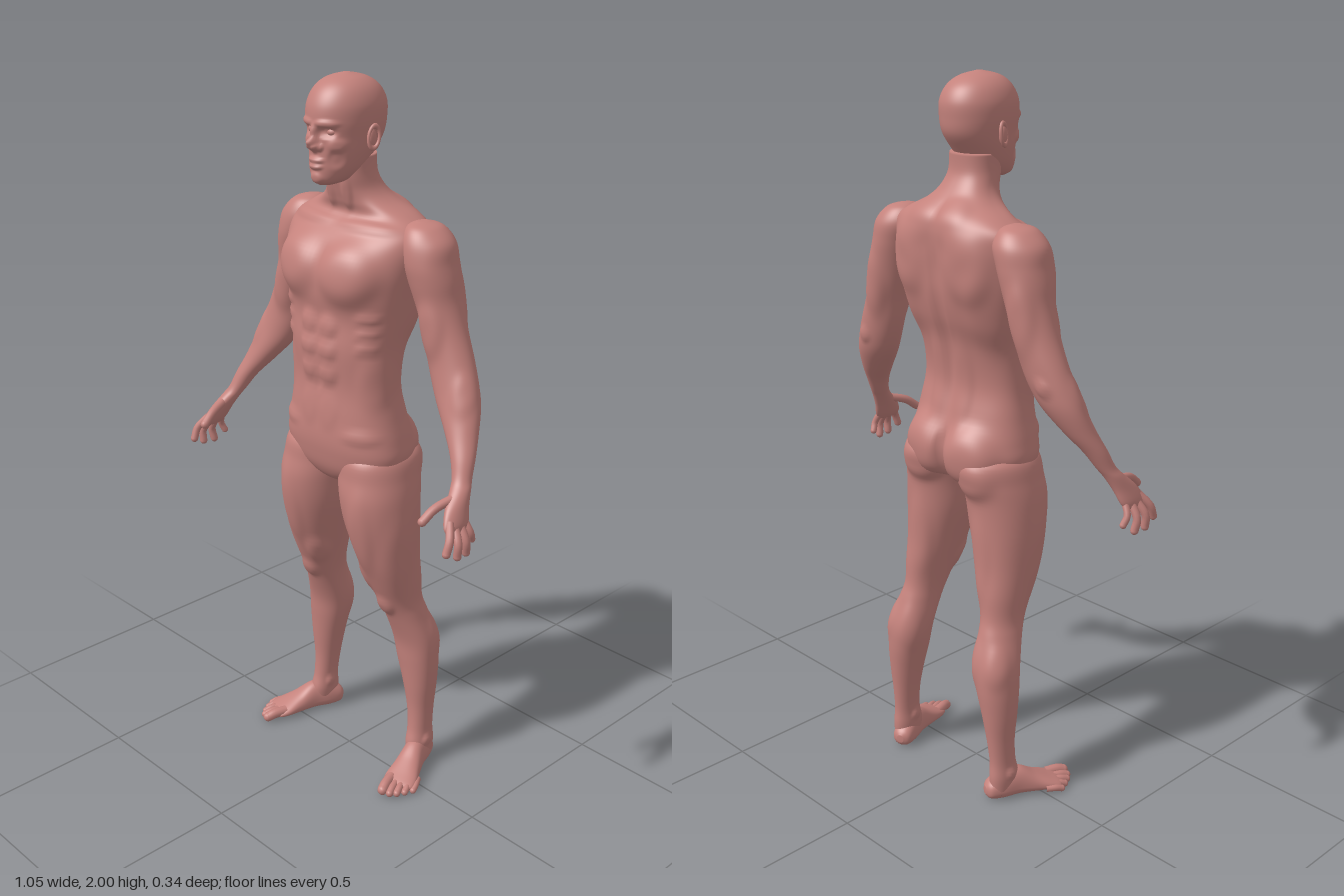
import * as THREE from 'three';
import { mergeGeometries } from 'three/addons/utils/BufferGeometryUtils.js';

const V = (p) => new THREE.Vector3(...p);
const skin = new THREE.MeshStandardMaterial({ color: 0xc4827c });
skin.name = 'skin';

// Smooth interpolation between neighbouring rows of numbers
function blend(rows, s) {
  const i = Math.min(Math.floor(s), rows.length - 2), t = s - i;
  const at = (k) => rows[Math.max(0, Math.min(rows.length - 1, k))];
  return rows[0].map((_, c) => {
    const [p, q, r, u] = [at(i - 1)[c], at(i)[c], at(i + 1)[c], at(i + 2)[c]];
    return q + 0.5 * t * (r - p + t * (2 * p - 5 * q + 4 * r - u + t * (3 * (q - r) + u - p)));
  });
}

// Closed skin over horizontal sections: [x, y, z, halfWidth, frontDepth, backDepth]
function loft(rows, sides, power = 2, steps = 6) {
  if (rows[0][1] > rows[rows.length - 1][1]) rows = [...rows].reverse();
  const pos = [], index = [], rings = (rows.length - 1) * steps;
  const bend = (v) => Math.sign(v) * Math.pow(Math.abs(v), 2 / power);
  for (let i = 0; i <= rings; i++) {
    const [x, y, z, a, f, b] = blend(rows, i / steps);
    for (let j = 0; j < sides; j++) {
      const t = (j / sides) * Math.PI * 2, s = Math.sin(t);
      pos.push(x + Math.max(a, 0.001) * bend(Math.cos(t)), y, z + Math.max(s > 0 ? f : b, 0.001) * bend(s));
      if (i === rings) continue;
      const n = (j + 1) % sides, p = i * sides + j, q = i * sides + n;
      index.push(p, p + sides, q, q, p + sides, q + sides);
    }
  }
  const low = pos.length / 3, first = rows[0], last = rows[rows.length - 1];
  pos.push(first[0], first[1], first[2], last[0], last[1], last[2]);
  for (let j = 0; j < sides; j++) {
    const n = (j + 1) % sides, top = rings * sides;
    index.push(low, j, n, low + 1, top + n, top + j);
  }
  const geo = new THREE.BufferGeometry();
  geo.setAttribute('position', new THREE.Float32BufferAttribute(pos, 3));
  geo.setIndex(index);
  geo.computeVertexNormals();
  return geo;
}

// Push the skin out (or in) around muscles: [x, y, z, rx, ry, rz, amount]
function sculpt(geo, muscles, mirrored = false) {
  const p = geo.attributes.position, n = geo.attributes.normal;
  for (let i = 0; i < p.count; i++) {
    const x = p.getX(i), y = p.getY(i), z = p.getZ(i), mx = mirrored ? Math.abs(x) : x;
    let d = 0;
    for (const [cx, cy, cz, rx, ry, rz, amount] of muscles) {
      const r = ((mx - cx) / rx) ** 2 + ((y - cy) / ry) ** 2 + ((z - cz) / rz) ** 2;
      d += amount * Math.exp(-r * r);
    }
    p.setXYZ(i, x + n.getX(i) * d, y + n.getY(i) * d, z + n.getZ(i) * d);
  }
  geo.computeVertexNormals();
  return geo;
}

// Finger or toe: a round tube with a round tip
function digit(points, r) {
  const path = new THREE.CatmullRomCurve3(points.map(V));
  const tip = new THREE.SphereGeometry(r, 12, 8).translate(...points[points.length - 1]);
  return mergeGeometries([new THREE.TubeGeometry(path, 10, r, 12), tip]);
}

const ball = (x, y, z, rx, ry, rz) => new THREE.SphereGeometry(1, 20, 14).scale(rx, ry, rz).translate(x, y, z);

export function createModel() {
  const model = new THREE.Group();
  model.name = 'figure';
  const add = (name, geo) => {
    const mesh = new THREE.Mesh(geo, skin);
    mesh.name = name;
    model.add(mesh);
  };
  const pair = (name, geo) => {
    const other = geo.clone().scale(-1, 1, 1), ix = other.index.array;
    for (let i = 0; i < ix.length; i += 3) [ix[i], ix[i + 1]] = [ix[i + 1], ix[i]];
    const n = other.attributes.normal, src = geo.attributes.normal;
    for (let i = 0; i < n.count; i++) n.setXYZ(i, -src.getX(i), src.getY(i), src.getZ(i));
    add(name + 'Left', geo);
    add(name + 'Right', other);
  };

  // Torso and neck
  const torso = loft([
    [0, 0.895, 0, 0.012, 0.03, 0.03], [0, 0.912, 0, 0.07, 0.075, 0.07],
    [0, 0.95, 0, 0.175, 0.102, 0.115], [0, 1.0, 0, 0.2, 0.115, 0.128],
    [0, 1.05, 0, 0.195, 0.12, 0.125], [0, 1.12, 0, 0.18, 0.116, 0.105],
    [0, 1.2, 0, 0.167, 0.111, 0.088], [0, 1.3, 0, 0.172, 0.118, 0.103],
    [0, 1.38, -0.01, 0.186, 0.122, 0.122], [0, 1.45, -0.02, 0.2, 0.142, 0.128],
    [0, 1.52, -0.03, 0.215, 0.145, 0.122], [0, 1.58, -0.04, 0.222, 0.13, 0.116],
    [0, 1.62, -0.05, 0.212, 0.105, 0.104], [0, 1.65, -0.055, 0.168, 0.082, 0.09],
    [0, 1.68, -0.045, 0.11, 0.08, 0.072], [0, 1.71, -0.03, 0.08, 0.075, 0.06],
    [0, 1.75, -0.008, 0.068, 0.064, 0.06], [0, 1.8, 0, 0.065, 0.06, 0.066],
  ], 128, 2.35);
  const torsoMuscles = [
    [0.095, 1.515, 0.12, 0.085, 0.075, 0.09, 0.024], // chest
    [0.15, 1.42, -0.1, 0.06, 0.12, 0.08, 0.01], // lats
    [0.11, 1.53, -0.15, 0.07, 0.09, 0.06, 0.017], // shoulder blades
    [0.05, 1.63, -0.12, 0.05, 0.06, 0.05, 0.01], // trapezius
    [0, 1.36, -0.13, 0.018, 0.24, 0.06, -0.011], // spine
    [0.045, 1.2, -0.1, 0.03, 0.12, 0.05, 0.008],
    [0.085, 1.0, -0.12, 0.08, 0.085, 0.08, 0.028], // buttocks
    [0, 0.99, -0.13, 0.014, 0.07, 0.06, -0.02],
    [0.1, 1.625, 0.03, 0.09, 0.012, 0.05, 0.006], // collar bones
    [0.03, 1.7, 0.04, 0.014, 0.05, 0.03, 0.006],
    [0.15, 1.22, 0.05, 0.04, 0.07, 0.06, 0.006], // obliques
    [0.13, 1.07, 0.08, 0.05, 0.018, 0.06, 0.005],
    [0, 1.195, 0.11, 0.008, 0.01, 0.04, -0.006],
    [0.035, 1.13, 0.11, 0.032, 0.05, 0.05, 0.004],
  ];
  for (const y of [1.365, 1.3, 1.235]) torsoMuscles.push([0.035, y, 0.115, 0.029, 0.028, 0.05, 0.01]); // abdominals
  for (const y of [1.4, 1.36, 1.32]) torsoMuscles.push([0.145, y, 0.075, 0.03, 0.015, 0.04, 0.006]); // ribs
  add('torso', sculpt(torso, torsoMuscles, true));

  // Head with the face shaped into it
  const head = loft([
    [0, 1.73, 0.075, 0.018, 0.028, 0.02], [0, 1.742, 0.06, 0.042, 0.056, 0.05],
    [0, 1.77, 0.04, 0.062, 0.08, 0.07], [0, 1.81, 0.025, 0.076, 0.094, 0.09],
    [0, 1.85, 0.012, 0.084, 0.108, 0.105], [0, 1.89, 0.008, 0.09, 0.117, 0.108],
    [0, 1.93, 0.008, 0.089, 0.112, 0.107], [0, 1.965, 0.01, 0.074, 0.09, 0.09],
    [0, 1.988, 0.012, 0.047, 0.056, 0.057], [0, 2.0, 0.012, 0.008, 0.008, 0.008],
  ], 160, 2.05, 10);
  add('head', sculpt(head, [
    [0.034, 1.866, 0.115, 0.022, 0.013, 0.04, -0.012], // eye sockets
    [0.034, 1.888, 0.115, 0.03, 0.009, 0.04, 0.005], // brows
    [0.052, 1.835, 0.09, 0.02, 0.016, 0.03, 0.005], // cheeks
    [0.05, 1.8, 0.095, 0.016, 0.02, 0.03, -0.004],
    [0, 1.835, 0.125, 0.013, 0.018, 0.04, 0.02], // nose
    [0, 1.858, 0.125, 0.01, 0.024, 0.04, 0.011],
    [0.015, 1.828, 0.12, 0.009, 0.009, 0.04, 0.008],
    [0, 1.795, 0.12, 0.024, 0.007, 0.04, 0.008], // lips
    [0, 1.779, 0.12, 0.021, 0.007, 0.04, 0.008],
    [0, 1.75, 0.115, 0.02, 0.014, 0.04, 0.005], // chin
  ], true));
  pair('eye', ball(0.034, 1.866, 0.09, 0.015, 0.011, 0.015));
  const rim = new THREE.TorusGeometry(0.019, 0.005, 10, 28).scale(0.8, 1.45, 1).rotateY(Math.PI / 2 - 0.3);
  pair('earRim', rim.rotateX(-0.15).translate(0.094, 1.85, 0.006));
  pair('ear', ball(0.089, 1.847, 0.009, 0.008, 0.025, 0.014));

  // Arms down to the palms
  const arm = loft([
    [0.205, 1.648, -0.06, 0.012, 0.015, 0.015], [0.213, 1.636, -0.06, 0.045, 0.05, 0.05],
    [0.222, 1.6, -0.06, 0.069, 0.072, 0.075], [0.235, 1.55, -0.06, 0.066, 0.078, 0.078],
    [0.249, 1.5, -0.062, 0.064, 0.073, 0.073], [0.265, 1.44, -0.065, 0.062, 0.063, 0.063],
    [0.285, 1.38, -0.065, 0.062, 0.057, 0.057], [0.31, 1.31, -0.062, 0.068, 0.053, 0.053],
    [0.335, 1.25, -0.055, 0.069, 0.052, 0.05], [0.36, 1.2, -0.043, 0.064, 0.05, 0.047],
    [0.395, 1.14, -0.018, 0.047, 0.041, 0.04], [0.425, 1.09, 0.008, 0.034, 0.032, 0.032],
    [0.444, 1.045, 0.03, 0.026, 0.027, 0.027], [0.456, 1.02, 0.047, 0.025, 0.031, 0.028],
    [0.47, 0.985, 0.072, 0.022, 0.042, 0.036], [0.484, 0.95, 0.09, 0.018, 0.045, 0.042],
    [0.49, 0.932, 0.096, 0.011, 0.036, 0.036],
  ], 56);
  pair('arm', sculpt(arm, [
    [0.3, 1.55, -0.05, 0.05, 0.07, 0.07, 0.005], // deltoid
    [0.28, 1.38, 0, 0.04, 0.07, 0.04, 0.01], // biceps
    [0.28, 1.42, -0.13, 0.04, 0.09, 0.04, 0.009], // triceps
    [0.395, 1.24, -0.02, 0.03, 0.06, 0.04, 0.005], // forearm
    [0.345, 1.26, -0.11, 0.02, 0.022, 0.03, 0.006], // elbow
  ]));
  const fingers = {
    thumb: [[0.458, 1.005, 0.075], [0.444, 0.988, 0.13], [0.437, 0.962, 0.166]],
    indexFinger: [[0.484, 0.96, 0.115], [0.507, 0.923, 0.14], [0.508, 0.892, 0.152]],
    middleFinger: [[0.486, 0.95, 0.1], [0.513, 0.908, 0.114], [0.512, 0.874, 0.115]],
    ringFinger: [[0.486, 0.95, 0.082], [0.511, 0.905, 0.083], [0.508, 0.872, 0.078]],
    littleFinger: [[0.482, 0.955, 0.064], [0.501, 0.918, 0.055], [0.497, 0.894, 0.045]],
  };
  for (const [name, points] of Object.entries(fingers)) {
    pair(name, digit(points, name === 'thumb' ? 0.012 : name === 'littleFinger' ? 0.0095 : 0.011));
  }

  // Legs
  const leg = loft([
    [0.1, 1.03, -0.01, 0.05, 0.05, 0.06], [0.104, 1.0, -0.01, 0.094, 0.108, 0.122],
    [0.111, 0.94, -0.005, 0.104, 0.114, 0.122], [0.12, 0.88, -0.002, 0.105, 0.117, 0.114],
    [0.128, 0.8, -0.005, 0.099, 0.11, 0.106], [0.14, 0.7, -0.015, 0.081, 0.094, 0.094],
    [0.15, 0.62, -0.03, 0.066, 0.078, 0.085], [0.157, 0.55, -0.045, 0.055, 0.062, 0.073],
    [0.165, 0.5, -0.06, 0.056, 0.054, 0.073], [0.178, 0.42, -0.085, 0.064, 0.052, 0.072],
    [0.186, 0.35, -0.09, 0.06, 0.048, 0.069], [0.195, 0.27, -0.093, 0.048, 0.043, 0.058],
    [0.2, 0.19, -0.095, 0.036, 0.038, 0.046], [0.204, 0.12, -0.092, 0.031, 0.038, 0.043],
    [0.206, 0.07, -0.088, 0.033, 0.045, 0.05], [0.206, 0.02, -0.09, 0.028, 0.04, 0.045],
  ], 72, 2.1);
  pair('leg', sculpt(leg, [
    [0.1, 0.95, -0.13, 0.07, 0.05, 0.06, 0.014], // lower buttock
    [0.14, 0.78, 0.1, 0.035, 0.13, 0.05, 0.007], // thigh front
    [0.21, 0.73, 0.02, 0.04, 0.12, 0.05, 0.005],
    [0.1, 0.63, 0.03, 0.03, 0.05, 0.04, 0.009],
    [0.12, 0.72, -0.11, 0.035, 0.12, 0.04, 0.006], // thigh back
    [0.157, 0.545, 0.015, 0.027, 0.03, 0.03, 0.009], // kneecap
    [0.14, 0.42, -0.13, 0.03, 0.07, 0.04, 0.006], // calf
    [0.215, 0.43, -0.13, 0.03, 0.06, 0.04, 0.005],
    [0.237, 0.085, -0.09, 0.012, 0.016, 0.016, 0.006], // ankle bones
    [0.173, 0.1, -0.085, 0.012, 0.016, 0.016, 0.006],
  ]));

  // Feet, made along their length and turned outward
  const place = (geo) => geo.rotateY(0.38).translate(0.206, 0, -0.088);
  const foot = loft([
    [0, -0.06, -0.03, 0.01, 0.012, 0.012], [0, -0.047, -0.03, 0.028, 0.026, 0.028],
    [0, -0.01, -0.03, 0.034, 0.03, 0.05], [0, 0.04, -0.03, 0.034, 0.028, 0.056],
    [0, 0.09, -0.025, 0.041, 0.024, 0.035], [0, 0.13, -0.02, 0.048, 0.018, 0.021],
    [0, 0.158, -0.016, 0.046, 0.014, 0.013], [-0.003, 0.17, -0.015, 0.036, 0.009, 0.008],
  ], 48, 2.2);
  pair('foot', place(foot.rotateX(Math.PI / 2)));
  [0.2, 0.202, 0.193, 0.178, 0.16].forEach((tip, i) => {
    const r = i ? 0.0115 - i * 0.0005 : 0.015, x = i ? -0.026 + i * 0.0185 : -0.03;
    const points = [[x * 0.9, r + 0.007, 0.14 - i * 0.007], [x, r + 0.006, tip - 0.02], [x, r, tip]];
    pair('toe' + (i + 1), place(digit(points, r)));
  });
  return model;
}
